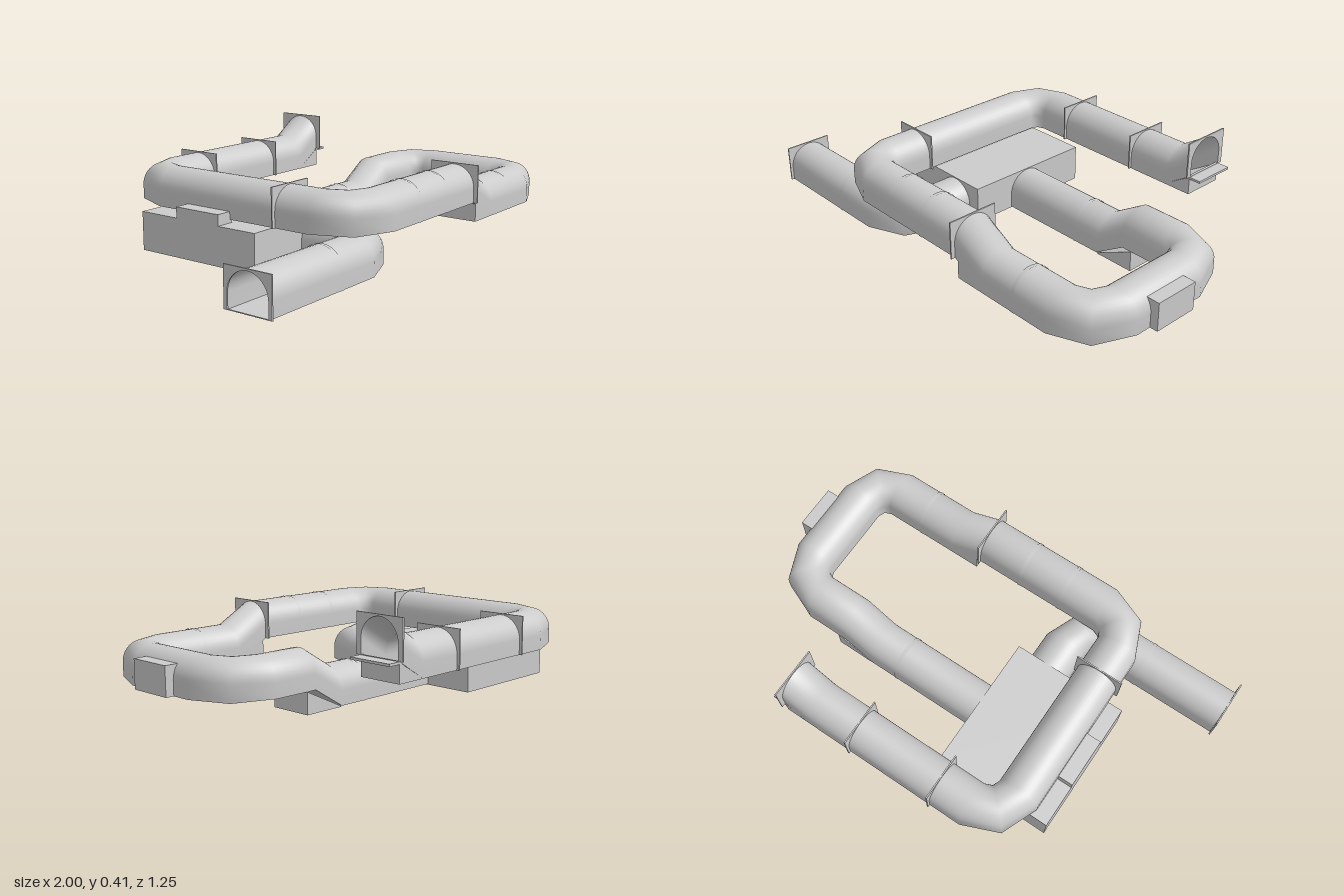
import * as THREE from 'three';

const W = 0.0925, H = 0.153, RAD = Math.PI / 180;
const BEND_R = 0.135;
const LEVEL = [0.003, 0.09, 0.173];

const material = new THREE.MeshStandardMaterial({ color: 0xcccccc, side: THREE.DoubleSide });

// Arch outline (sideways, up): straight walls with a round top
function archPoints(scale = 1) {
  const w = W * scale, h = H * scale, pts = [[w, 0]];
  for (let i = 0; i <= 20; i++) {
    const t = (i / 20) * Math.PI;
    pts.push([w * Math.cos(t), h - w + w * Math.sin(t)]);
  }
  pts.push([-w, 0]);
  return pts;
}
const floorPoints = [[-W, 0], [W, 0]];

// A station is a point on the path with its heading a in degrees (0 = +x, 90 = +z)
const at = (x, y, z, a) => ({ x, y, z, a });

function bend(cx, y, cz, a0, a1) {
  const s = Math.sign(a1 - a0);
  return [0, 0.5, 1].map((t) => {
    const a = a0 + (a1 - a0) * t;
    return at(cx + s * BEND_R * Math.sin(a * RAD), y, cz - s * BEND_R * Math.cos(a * RAD), a);
  });
}

// Carries an open profile along the stations
function sweep(profile, stations) {
  const pos = [], idx = [], n = profile.length;
  stations.forEach((s, i) => {
    const c = Math.cos(s.a * RAD), sn = Math.sin(s.a * RAD);
    profile.forEach(([l, u], j) => {
      pos.push(s.x - sn * l, s.y + u, s.z + c * l);
      if (i < stations.length - 1 && j < n - 1) {
        const k = i * n + j;
        idx.push(k, k + n, k + 1, k + 1, k + n, k + n + 1);
      }
    });
  });
  const g = new THREE.BufferGeometry();
  g.setAttribute('position', new THREE.Float32BufferAttribute(pos, 3));
  g.setIndex(idx);
  g.computeVertexNormals();
  return g;
}

export function createModel() {
  const model = new THREE.Group();
  model.name = 'tunnelTrack';

  const add = (name, geometry) => {
    const m = new THREE.Mesh(geometry, material);
    m.name = name;
    model.add(m);
    return m;
  };

  const box = (name, x0, x1, y0, y1, z0, z1) =>
    add(name, new THREE.BoxGeometry(x1 - x0, y1 - y0, z1 - z0))
      .position.set((x0 + x1) / 2, (y0 + y1) / 2, (z0 + z1) / 2);

  const tunnel = (name, stations) => {
    add(name + 'Shell', sweep(archPoints(), stations));
    add(name + 'Floor', sweep(floorPoints, stations));
  };

  // Square plate with an arched opening
  const flange = (name, s, half) => {
    const top = H + 0.005;
    const plate = new THREE.Shape([[-half, 0], [half, 0], [half, top], [-half, top]]
      .map(([x, y]) => new THREE.Vector2(x, y)));
    plate.holes.push(new THREE.Path(archPoints(0.97)
      .map(([x, y]) => new THREE.Vector2(x, y + 0.002))));
    const g = new THREE.ExtrudeGeometry(plate, { depth: 0.006, bevelEnabled: false });
    g.translate(0, 0, -0.003);
    const m = add(name, g);
    m.position.set(s.x, s.y, s.z);
    m.rotation.y = (90 - s.a) * RAD;
  };

  const joint = (s) => {
    const dx = Math.cos(s.a * RAD) * 0.008, dz = Math.sin(s.a * RAD) * 0.008;
    add('jointBand', sweep(archPoints(1.02),
      [at(s.x - dx, s.y, s.z - dz, s.a), at(s.x + dx, s.y, s.z + dz, s.a)]));
  };

  // Solid wedge under a ramp, rising from x0 to x1
  const wedge = (name, x0, x1, y0, y1, z) => {
    const shape = new THREE.Shape([[x0, y0], [x1, y0], [x1, y1]]
      .map(([x, y]) => new THREE.Vector2(x, y)));
    const g = new THREE.ExtrudeGeometry(shape, { depth: 2 * W, bevelEnabled: false });
    g.translate(0, 0, z - W);
    add(name, g);
  };

  const [y1, y2, y3] = LEVEL;

  // Entry tunnel on the ground, turning into the station box
  tunnel('entryTunnel', [
    at(-1, y1, 0.46, 0),
    ...bend(-0.4, y1, 0.325, 0, -90),
    at(-0.265, y1, 0.17, -90),
  ]);

  // Long tunnel climbing through three levels
  tunnel('mainTunnel', [
    at(-0.13, y1, -0.105, 0),
    at(0.4, y1, -0.105, 0),
    at(0.54, y2, -0.105, 0),
    ...bend(0.738, y2, 0.03, 0, 90),
    ...bend(0.738, y2, 0.375, 90, 180),
    at(0.4, y2, 0.51, 180),
    at(0.25, y3, 0.51, 180),
    ...bend(-0.343, y3, 0.375, 180, 270),
    ...bend(-0.343, y3, -0.38, 270, 360),
    at(0.4, y3, -0.515, 0),
    at(0.53, 0.255, -0.515, 0),
  ]);

  // Ramp supports and the lip at the upper end
  wedge('lowerRampBase', 0.4, 0.585, 0, y2, -0.105);
  wedge('middleRampBase', 0.45, 0.265, y2, y3 + 0.005, 0.51);
  wedge('upperRampBase', 0.4, 0.53, y3, 0.253, -0.515);
  box('exitLip', 0.52, 0.585, 0.245, 0.255, -0.61, -0.42);

  // Station box and small side boxes
  box('stationBox', -0.637, -0.117, 0, 0.16, -0.41, 0.18);
  box('stationSideBox', -0.637, -0.56, 0.155, 0.205, -0.22, 0);
  box('bendSideBox', 0.94, 1, y2, 0.21, 0.112, 0.308);

  // Flanges
  flange('entryFlange', at(-0.997, y1, 0.46, 0), 0.105);
  flange('middleFlange', at(0.247, y3, 0.51, 0), 0.11);
  flange('sideFlange', at(-0.478, y3, 0.22, 90), 0.107);
  for (const x of [-0.195, 0.205]) flange('rearFlange', at(x, y3, -0.515, 0), 0.104);
  flange('exitFlange', at(0.53, 0.255, -0.515, 0), 0.112);

  // Joint bands
  [at(-0.6, y1, 0.46, 0), at(0.275, y1, -0.105, 0), at(0.57, y2, 0.51, 0),
    at(-0.16, y3, 0.51, 0), at(0.04, y3, 0.51, 0)].forEach(joint);

  return model;
}
